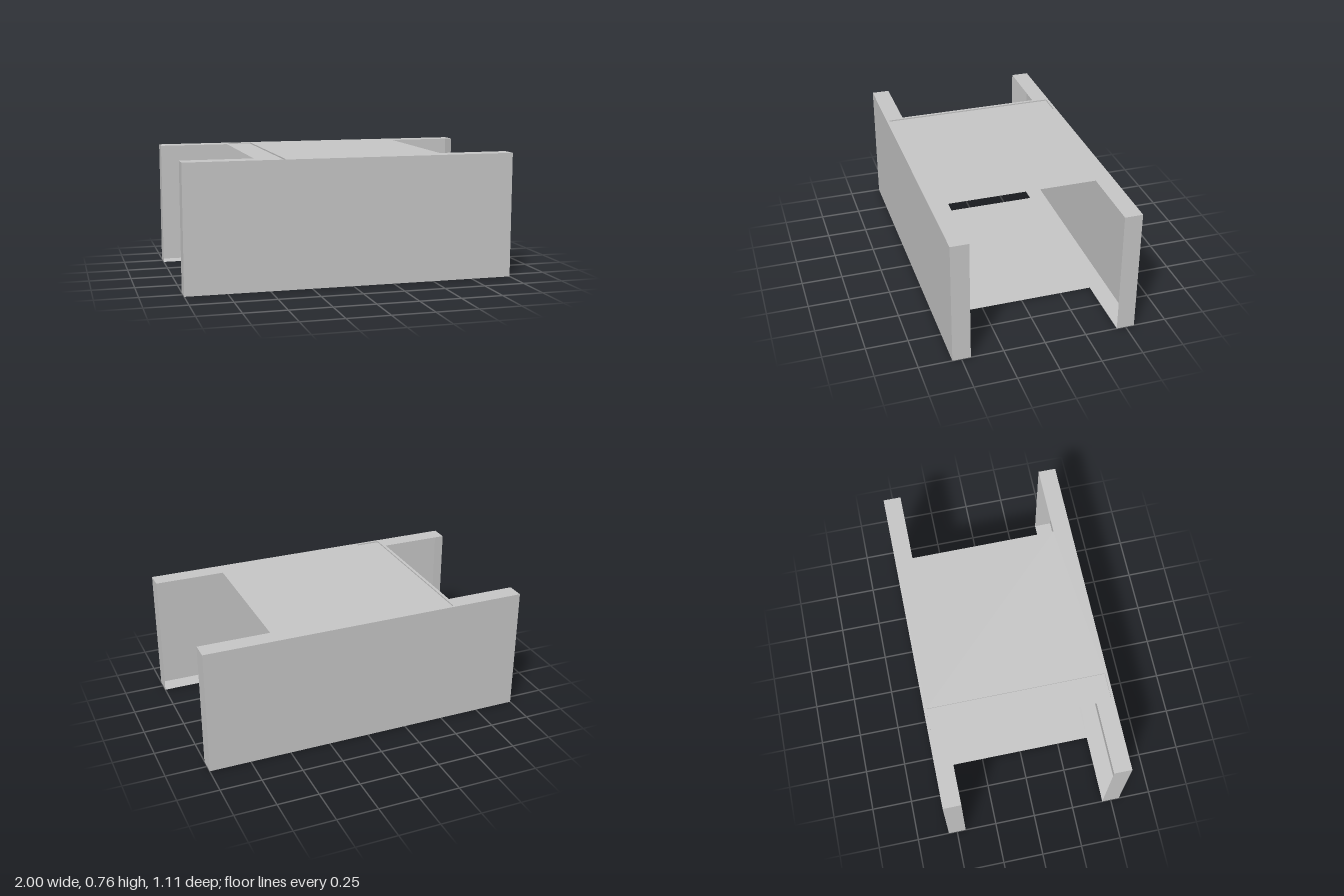
import * as THREE from 'three';

const L = 1, H = 0.763, ZO = 0.553, ZI = 0.445, XP = 0.57; // half length, height, outer/inner z, web half width
const SLOT = { x0: -0.552, x1: -0.4, z: 0.537, depth: 0.008 };

const grey = new THREE.MeshStandardMaterial({ color: 0xc8c8c8, side: THREE.DoubleSide });
grey.name = 'plain grey';

// box with some faces left out (0 +x, 1 -x, 2 +y, 3 -y, 4 +z, 5 -z)
function openBox(w, h, d, omit) {
  const g = new THREE.BoxGeometry(w, h, d);
  const index = Array.from(g.index.array).filter((_, i) => !omit.includes(Math.floor(i / 6)));
  g.clearGroups();
  g.setIndex(index);
  return g;
}

// H-shaped sheet, lying flat
function sheet(withSlot) {
  const s = new THREE.Shape([
    [-L, -ZO], [L, -ZO], [L, -ZI], [XP, -ZI], [XP, ZI], [L, ZI],
    [L, ZO], [-L, ZO], [-L, ZI], [-XP, ZI], [-XP, -ZI], [-L, -ZI],
  ].map(([x, y]) => new THREE.Vector2(x, y)));
  if (withSlot) {
    const { x0, x1, z } = SLOT;
    s.holes.push(new THREE.Path([[x0, -z], [x0, z], [x1, z], [x1, -z]].map(([x, y]) => new THREE.Vector2(x, y))));
  }
  return new THREE.ShapeGeometry(s);
}

export function createModel() {
  const model = new THREE.Group();
  model.name = 'table';
  const add = (name, geometry, x, y, z) => {
    const m = new THREE.Mesh(geometry, grey);
    m.name = name;
    m.position.set(x, y, z);
    model.add(m);
  };

  // outer walls with narrow end returns, open towards the middle
  for (const side of [1, -1]) {
    const inner = side > 0 ? 5 : 4;
    add(side > 0 ? 'frontWall' : 'backWall', openBox(2 * L, H, ZO - ZI, [2, 3, inner]), 0, H / 2, side * (ZO + ZI) / 2);
  }

  // top and bottom sheets join the walls
  add('topSheet', sheet(true).rotateX(-Math.PI / 2), 0, H, 0);
  add('bottomSheet', sheet(false).rotateX(Math.PI / 2), 0, 0, 0);

  // shallow recess near the right end of the top
  const { x0, x1, z, depth } = SLOT;
  const tray = openBox(x1 - x0, depth, 2 * z, [2]);
  // turn the tray's faces inward
  const a = tray.index.array;
  for (let i = 0; i < a.length; i += 3) [a[i], a[i + 1]] = [a[i + 1], a[i]];
  tray.computeVertexNormals();
  add('topRecess', tray, (x0 + x1) / 2, H - depth / 2, 0);

  return model;
}
